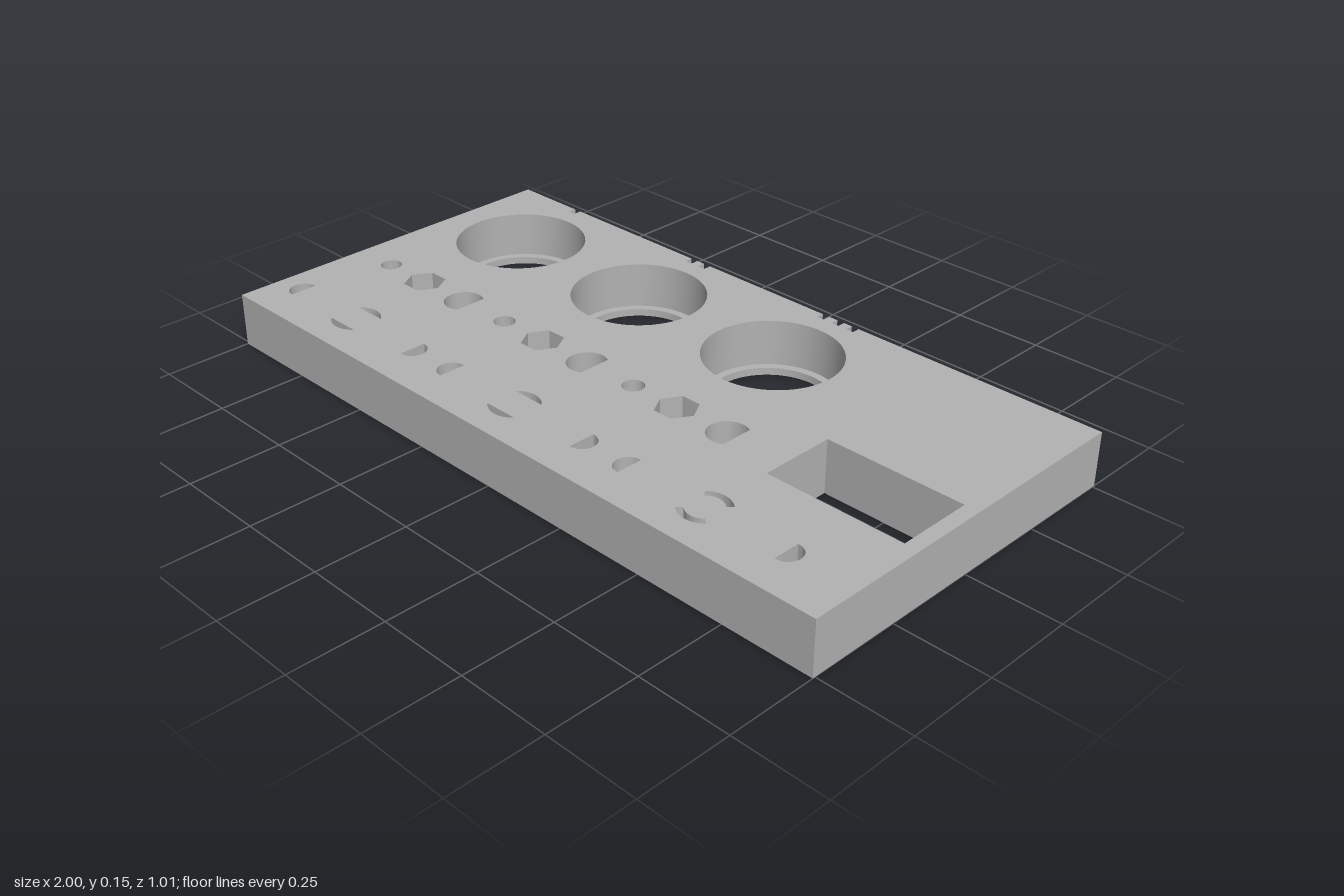
import * as THREE from 'three';
import { mergeGeometries, toCreasedNormals } from 'three/addons/utils/BufferGeometryUtils.js';

const H = 0.147, W = 1, D = 0.507;   // height, half width, half depth
const LEDGE = 0.02, NOTCH = 0.018;

// Plan outlines use (x, v) with v = -z.
const P = (x, v) => new THREE.Vector2(x, v);
function arc(cx, cv, r, a0, a1, n) {
  return Array.from({ length: n + 1 }, (_, i) => {
    const a = a0 + (a1 - a0) * i / n;
    return P(cx + r * Math.cos(a), cv + r * Math.sin(a));
  });
}
const circle = (cx, cv, r, n = 32) => arc(cx, cv, r, 0, 2 * Math.PI, n).slice(0, n);
const rect = (x0, x1, v0, v1) => [P(x0, v0), P(x1, v0), P(x1, v1), P(x0, v1)];

// Circle cut by a flat at distance f from its centre, in direction t
function cutCircle(cx, cv, r, f, t) {
  const a = Math.acos(f / r);
  return arc(cx, cv, r, t + a, t + 2 * Math.PI - a, 20);
}

// Horizontal face with holes, facing up or down
function face(outline, holes, y, down = false) {
  const shape = new THREE.Shape(outline);
  shape.holes = holes.map(h => new THREE.Path(h));
  const g = new THREE.ShapeGeometry(shape).rotateX(-Math.PI / 2);
  if (down) {
    const ix = g.index.array;
    for (let i = 0; i < ix.length; i += 3) [ix[i], ix[i + 1]] = [ix[i + 1], ix[i]];
  }
  g.translate(0, y, 0);
  const out = g.toNonIndexed();
  out.deleteAttribute('uv');
  out.computeVertexNormals();
  return out;
}

// Upright wall along an outline; faces the right-hand side of the path
function wall(pts, y0, y1, closed = true) {
  const pos = [], n = pts.length;
  for (let i = 0; i < (closed ? n : n - 1); i++) {
    const a = pts[i], b = pts[(i + 1) % n];
    pos.push(a.x, y0, -a.y, b.x, y0, -b.y, b.x, y1, -b.y);
    pos.push(a.x, y0, -a.y, b.x, y1, -b.y, a.x, y1, -a.y);
  }
  const g = new THREE.BufferGeometry();
  g.setAttribute('position', new THREE.Float32BufferAttribute(pos, 3));
  return toCreasedNormals(g, 0.6);
}
const holeWall = (pts, y0, y1) =>
  wall(THREE.ShapeUtils.area(pts) > 0 ? [...pts].reverse() : pts, y0, y1);

export function createModel() {
  const group = new THREE.Group();
  const grey = new THREE.MeshStandardMaterial({ color: 0xb2b2b2 });
  const topHoles = [], bottomHoles = [];
  const add = (name, ...geos) => {
    const mesh = new THREE.Mesh(mergeGeometries(geos), grey);
    mesh.name = name;
    group.add(mesh);
  };
  const through = (name, pts) => {
    topHoles.push(pts);
    bottomHoles.push(pts);
    add(name, holeWall(pts, 0, H));
  };
  const blind = (name, pts, y) => {
    topHoles.push(pts);
    add(name, holeWall(pts, y, H), face(pts, [], y));
  };
  // Wide recess with a narrower hole through its floor
  const counterbore = (name, wide, narrow) => {
    topHoles.push(wide);
    bottomHoles.push(narrow);
    add(name, holeWall(wide, LEDGE, H), face(wide, [narrow], LEDGE), holeWall(narrow, 0, LEDGE));
  };
  // Recess narrowing at a small step beside its flat
  const stepped = (name, cx, cv, r, f, t) => {
    const upper = cutCircle(cx, cv, r, f, t), lower = cutCircle(cx, cv, r, f - 0.007, t);
    const mid = H - 0.05, low = 0.05;
    // narrow strip between the two flats
    const a = lower[0], b = lower[lower.length - 1];
    const strip = [upper[0], a, b, upper[upper.length - 1]];
    topHoles.push(upper);
    add(name, holeWall(upper, mid, H), face(strip, [], mid), holeWall(lower, low, mid), face(lower, [], low));
  };

  // Three columns: large bore, small hole, hexagonal recess, half-round recess
  for (const x of [-0.738, -0.262, 0.214]) {
    counterbore('largeBore', circle(x, 0.249, 0.182, 64), circle(x, 0.249, 0.16, 64));
    through('smallHole', circle(x - 0.131, -0.11, 0.029));
    counterbore('hexRecess', circle(x + 0.016, -0.11, 0.056, 6), circle(x + 0.016, -0.11, 0.031));
    blind('halfRoundRecess', cutCircle(x + 0.181, -0.11, 0.053, 0.027, 0), 0.04);
  }

  // Rectangular window
  through('rectangularWindow', rect(0.575, 0.96, -0.177, 0.032));

  // Front row of recesses
  [-0.675, -0.051, 0.572].forEach((x, i) => {
    const v = -0.373;
    for (const s of [-1, 1]) {
      stepped('sideRecess', x + s * 0.236, v, 0.037, 0.003, s < 0 ? 0 : Math.PI);
      const t = s * Math.PI / 2;
      if (i < 2) stepped('segmentRecess', x, v, 0.064, -0.043, -t);
      else blind('arcRecess', [...arc(x, v, 0.064, t - 0.78, t + 0.78, 16),
        ...arc(x, v, 0.046, t + 0.78, t - 0.78, 16)], 0.05);
    }
  });

  // Index notches along the back edge, listed from +x to -x
  const top = [P(-W, -D), P(W, -D), P(W, D)], back = [];
  for (const x of [0.267, 0.219, 0.17, -0.257, -0.305, -0.78]) {
    const a = x + 0.011, b = x - 0.011, v = D - 0.023;
    const cut = [P(a, D), P(a, v), P(b, v), P(b, D)];
    top.push(...cut);
    back.push(P(a, H), P(a, H - NOTCH), P(b, H - NOTCH), P(b, H));
    add('indexNotch', wall(cut, H - NOTCH, H, false), face(rect(b, a, v, D), [], H - NOTCH));
  }
  top.push(P(-W, D));

  // Plate faces
  add('plateTop', face(top, topHoles, H));
  add('plateBottom', face(rect(-W, W, -D, D), bottomHoles, 0, true));
  add('plateSides', wall([P(-W, D), P(-W, -D), P(W, -D), P(W, D)], 0, H, false));
  const backFace = face([P(-W, 0), P(W, 0), P(W, H), ...back, P(-W, H)], [], 0, true);
  add('plateBack', backFace.rotateX(Math.PI / 2).translate(0, 0, -D));
  return group;
}
